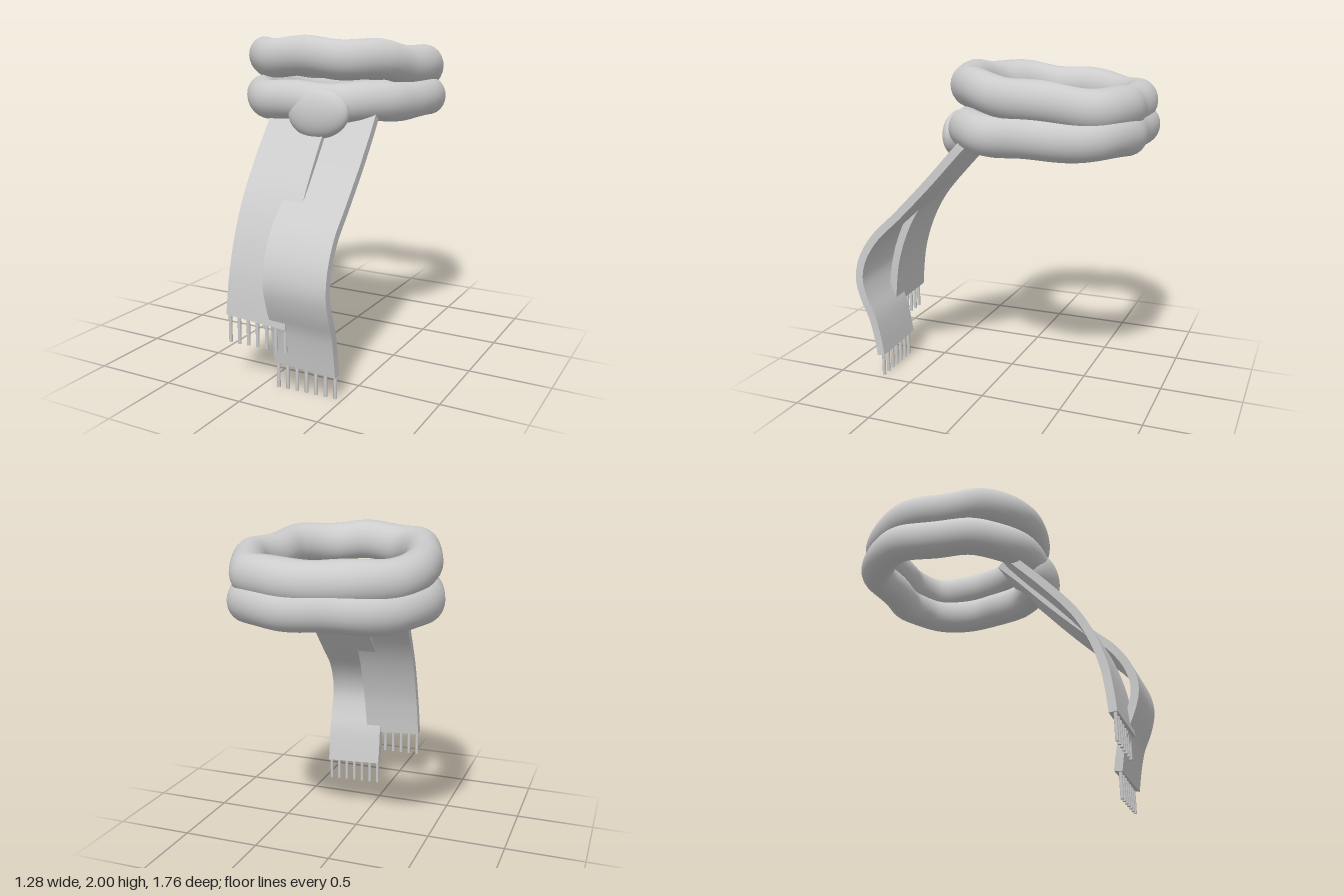
import * as THREE from 'three';

const wool = new THREE.MeshStandardMaterial({ color: 0xcccccc });
wool.name = 'lightGreyWool';

function add(parent, name, geometry) {
  const mesh = new THREE.Mesh(geometry, wool);
  mesh.name = name;
  parent.add(mesh);
  return mesh;
}

// Lumpy centreline of a neck loop, as x, z pairs
const loopPath = [
  [0, -0.74], [0.2, -0.755], [0.38, -0.67], [0.47, -0.52], [0.52, -0.35], [0.47, -0.13],
  [0.41, 0.04], [0.25, 0.18], [0, 0.23], [-0.25, 0.19], [-0.4, 0.04], [-0.47, -0.13],
  [-0.51, -0.3], [-0.51, -0.45], [-0.42, -0.62], [-0.25, -0.745],
];

// Closed tube, taller than wide, tilted along z, with gentle waves in height
function loopGeometry(y0, slope, spread, wave, phase) {
  const cz = -0.26;
  const points = loopPath.map(([x, z]) =>
    new THREE.Vector3(x * spread, 0, cz + (z - cz) * spread));
  const curve = new THREE.CatmullRomCurve3(points, true);
  const geometry = new THREE.TubeGeometry(curve, 160, 0.105, 24, true);
  geometry.scale(1, 1.13, 1);
  const p = geometry.attributes.position;
  for (let i = 0; i < p.count; i++) {
    const x = p.getX(i), z = p.getZ(i);
    const angle = Math.atan2(x, z - cz);
    p.setY(i, p.getY(i) + y0 + slope * z + wave * Math.cos(7 * angle + phase));
  }
  // Keep the tube's smooth normals, corrected for the height stretch
  return geometry;
}

// Hanging strip: a subdivided box bent along a centreline, with a fringe below
function makeTail(name, path, width, roll, fringeLength) {
  const tail = new THREE.Group();
  tail.name = name;
  const curve = new THREE.CatmullRomCurve3(path.map((p) => new THREE.Vector3(...p)));
  const geometry = new THREE.BoxGeometry(width, 1, 0.05, 6, 48, 1);
  const p = geometry.attributes.position;
  for (let i = 0; i < p.count; i++) {
    const t = 0.5 - p.getY(i);
    const c = curve.getPointAt(t), d = curve.getTangentAt(t);
    const n = new THREE.Vector3(0, d.z, -d.y).normalize();
    const x = p.getX(i), z = p.getZ(i);
    p.setXYZ(i, c.x + x, c.y + n.y * z - x * roll * t, c.z + n.z * z);
  }
  geometry.computeVertexNormals();
  add(tail, 'strip', geometry);

  const end = path[path.length - 1];
  const bottom = end[1] - fringeLength;
  for (let i = 0; i < 7; i++) {
    const x = (i / 6 - 0.5) * (width - 0.035);
    const top = end[1] - x * roll + 0.02;
    const strand = add(tail, 'fringeStrand',
      new THREE.CylinderGeometry(0.011, 0.011, top - bottom, 10));
    strand.position.set(end[0] + x, (top + bottom) / 2, end[2] - x * 0.05);
  }
  return tail;
}

export function createModel() {
  const scarf = new THREE.Group();
  scarf.name = 'scarf';

  // Two loops around the neck
  add(scarf, 'upperLoop', loopGeometry(1.845, 0.11, 1, 0.01, 0));
  add(scarf, 'lowerLoop', loopGeometry(1.61, 0, 1.035, 0.008, 1));

  // Knot at the front
  const knot = add(scarf, 'knot', new THREE.SphereGeometry(1, 40, 28));
  knot.scale.set(0.2, 0.15, 0.08);
  knot.position.set(0.12, 1.55, 0.295);
  knot.rotation.z = 0.1;

  // Long and short hanging ends, crossing halfway down
  scarf.add(makeTail('longTail', [
    [0.21, 1.66, 0.02], [0.235, 1.53, 0.15], [0.25, 1.3, 0.36], [0.26, 1.08, 0.575],
    [0.27, 0.92, 0.74], [0.28, 0.78, 0.825], [0.285, 0.65, 0.85], [0.285, 0.52, 0.82],
    [0.28, 0.4, 0.77], [0.275, 0.27, 0.74], [0.275, 0.15, 0.72],
  ], 0.395, 0.05, 0.15));
  scarf.add(makeTail('shortTail', [
    [-0.05, 1.65, 0.085], [-0.045, 1.52, 0.2], [-0.025, 1.3, 0.405], [-0.005, 1.08, 0.585],
    [0, 0.9, 0.68], [0, 0.7, 0.745], [-0.005, 0.55, 0.77], [-0.01, 0.4, 0.785],
  ], 0.395, 0.06, 0.155));

  return scarf;
}
